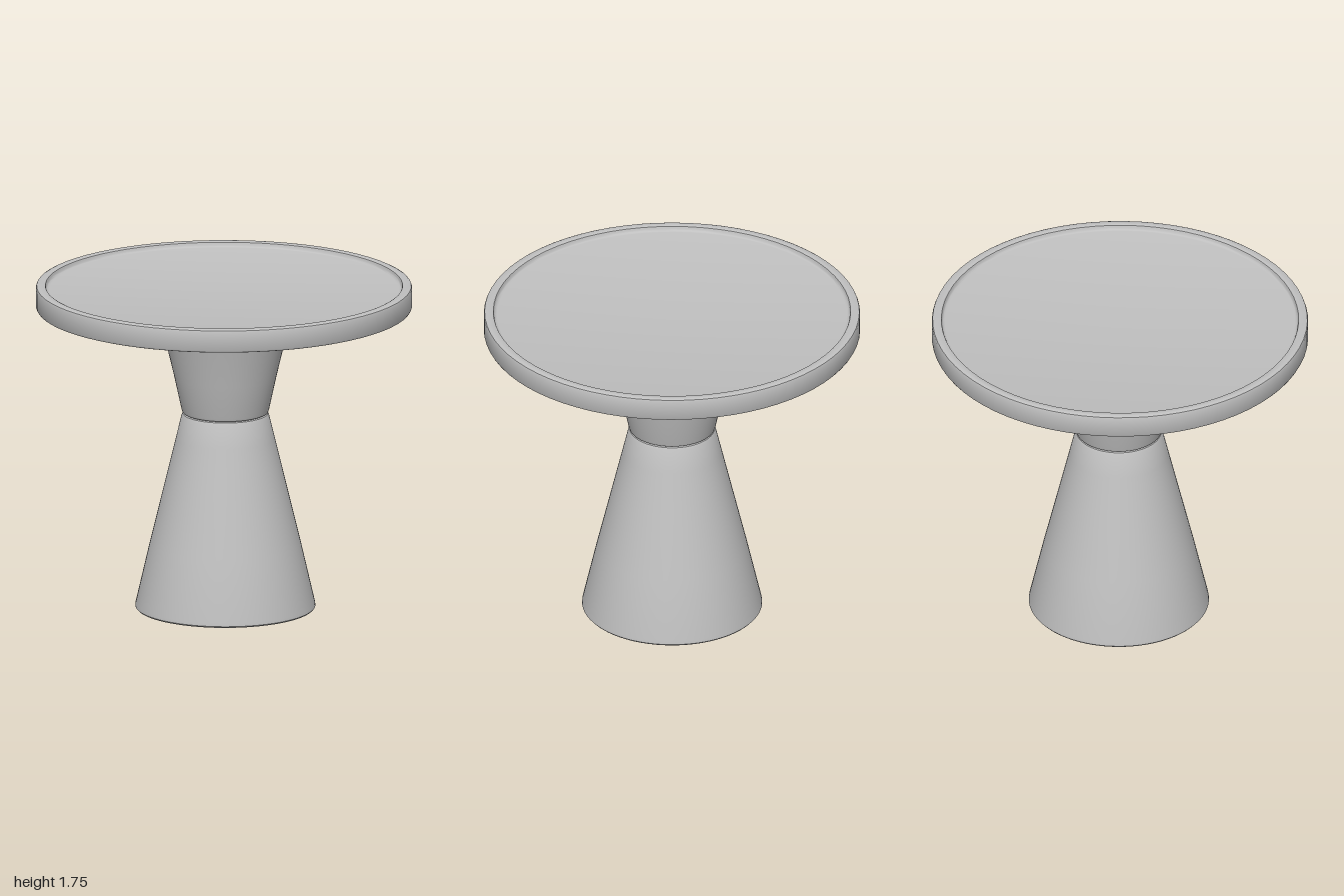
import * as THREE from 'three';
import { toCreasedNormals } from 'three/addons/utils/BufferGeometryUtils.js';

const SEGMENTS = 72;

// Spin an [radius, height] profile round the y axis, keeping hard edges crisp
function turned(name, profile, material) {
  const points = profile.map(([r, y]) => new THREE.Vector2(r, y));
  const geometry = toCreasedNormals(new THREE.LatheGeometry(points, SEGMENTS), 0.6);
  const mesh = new THREE.Mesh(geometry, material);
  mesh.name = name;
  return mesh;
}

export function createModel() {
  const table = new THREE.Group();
  table.name = 'pedestalTable';
  const grey = new THREE.MeshStandardMaterial({ color: 0xc0c0c0 });
  grey.name = 'light grey';

  // Round tray top with softened edges and a shallow recess
  const top = turned('tabletop', [
    [0, 1.63], [0.982, 1.63], [0.991, 1.633], [0.996, 1.642],
    [0.996, 1.74], [0.992, 1.75], [0.982, 1.755],
    [0.953, 1.755], [0.946, 1.752], [0.943, 1.745],
    [0.941, 1.735], [0.936, 1.73], [0.926, 1.728], [0, 1.728],
  ], grey);

  // Hollow lower cone, open at the floor
  const lower = turned('lowerCone', [
    [0, 1.03], [0.19, 1.03], [0.435, 0.008], [0.442, 0], [0.47, 0], [0.477, 0.008],
    [0.475, 0.025], [0.4, 0.35], [0.32, 0.68], [0.262, 0.92], [0.232, 1.045],
    [0.226, 1.056], [0.218, 1.06], [0, 1.06],
  ], grey);

  // Upper cone flaring out to the underside of the top
  const upper = turned('upperCone', [
    [0, 1.06], [0.218, 1.06], [0.227, 1.065], [0.232, 1.08],
    [0.271, 1.26], [0.316, 1.45], [0.362, 1.631],
  ], grey);

  // The pedestal sits a hair off the centre of the top
  const pedestal = new THREE.Group();
  pedestal.name = 'pedestal';
  pedestal.position.x = 0.008;
  pedestal.add(lower, upper);

  table.add(top, pedestal);
  return table;
}
